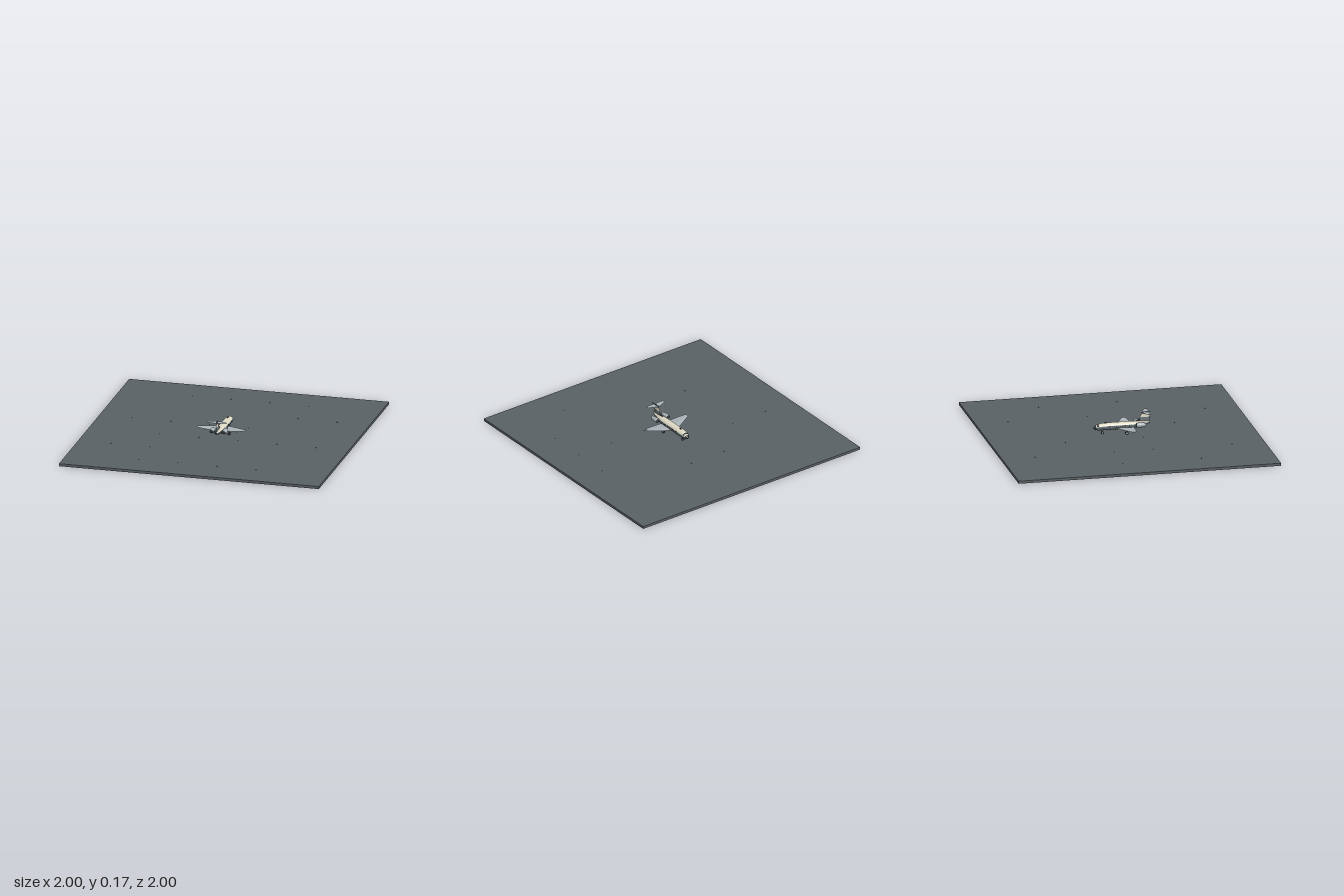
import * as THREE from 'three';

const mat = (name, color) => Object.assign(new THREE.MeshStandardMaterial({ color }), { name });
const M = {
  tarmac: mat('tarmac', 0x5a6164),
  cream: mat('cream', 0xddd8c4),
  silver: mat('silver', 0xaab3b8),
  grey: mat('grey', 0x69747a),
  dark: mat('dark', 0x34393c),
  glass: mat('glass', 0x1d2629),
};

// Skin a list of equal-length rings; closed rings get end caps
function loft(rings, { closed = true, flip = false, flat = false } = {}) {
  const n = rings[0].length, idx = [];
  const tri = (a, b, c) => (flip ? idx.push(a, c, b) : idx.push(a, b, c));
  for (let i = 0; i < rings.length - 1; i++) {
    for (let j = 0; j < (closed ? n : n - 1); j++) {
      const k = (j + 1) % n, a = i * n + j, b = i * n + k;
      tri(a, b, b + n);
      tri(a, b + n, a + n);
    }
  }
  if (closed) {
    const e = (rings.length - 1) * n;
    for (let j = 1; j < n - 1; j++) {
      tri(0, j + 1, j);
      tri(e, e + j, e + j + 1);
    }
  }
  let g = new THREE.BufferGeometry();
  g.setAttribute('position', new THREE.Float32BufferAttribute(rings.flat(2), 3));
  g.setIndex(idx);
  if (flat) g = g.toNonIndexed();
  g.computeVertexNormals();
  return g;
}

// Fuselage stations: z, centre height, half width, half height
const stations = [
  [-0.203, 0.068, 0.002, 0.002], [-0.198, 0.069, 0.012, 0.010], [-0.185, 0.071, 0.020, 0.017],
  [-0.165, 0.074, 0.027, 0.023], [-0.135, 0.076, 0.032, 0.026], [-0.09, 0.077, 0.033, 0.027],
  [0.08, 0.077, 0.033, 0.027], [0.13, 0.079, 0.028, 0.024], [0.18, 0.083, 0.018, 0.017],
  [0.215, 0.087, 0.009, 0.010], [0.228, 0.089, 0.003, 0.004],
];
const hullPoint = ([z, y, w, h], deg, grow = 0) => {
  const a = THREE.MathUtils.degToRad(deg);
  return [Math.cos(a) * (w + grow), y + Math.sin(a) * (h + grow), z];
};
function hullStrip(list, from, to, grow = 0) {
  const steps = Math.max(2, Math.ceil((to - from) / 12));
  return loft(list.map((s) => Array.from({ length: steps + 1 },
    (_, i) => hullPoint(s, from + ((to - from) * i) / steps, grow))), { closed: false });
}

// Wing-like surface: stations of x, y, leading z, trailing z, thickness
function wing(list, side) {
  return loft(list.map(([x, y, z0, z1, t]) => {
    const at = (f, h) => [x * side, y + h * t, z0 + (z1 - z0) * f];
    return [at(0.35, 0.5), at(1, 0), at(0.35, -0.5), at(0, 0)];
  }), { flip: side < 0, flat: true });
}

export function createModel() {
  const root = new THREE.Group();
  root.name = 'parkedJet';
  const add = (name, geo, m, x = 0, y = 0, z = 0) => {
    const mesh = new THREE.Mesh(geo, m);
    mesh.name = name;
    mesh.position.set(x, y, z);
    root.add(mesh);
    return mesh;
  };

  // Ground slab with small flush lights
  add('groundSlab', new THREE.BoxGeometry(2, 0.02, 2), M.tarmac, 0, 0.01, 0);
  const lamp = new THREE.CylinderGeometry(0.004, 0.004, 0.002, 8);
  for (let i = 0; i < 6; i++) {
    for (let j = 0; j < 6; j++) {
      if ((i === 0 || i === 5) && (j === 0 || j === 5)) continue;
      add('groundStud', lamp, M.tarmac, -0.75 + i * 0.3, 0.0205, -0.75 + j * 0.3);
    }
  }

  // Fuselage: dark nose, cream roof, dark stripe and grey belly
  add('nose', hullStrip(stations.slice(0, 3), 0, 360), M.dark);
  const body = stations.slice(2);
  add('roof', hullStrip(body, 22, 158), M.cream);
  add('belly', hullStrip(body, 180, 360), M.grey);
  for (const from of [0, 158]) add('sideStripe', hullStrip(body, from, from + 22), M.grey);
  for (const from of [-6, 180]) add('cheatLine', hullStrip(body, from, from + 6, 0.0004), M.dark);

  // Cockpit glazing and roof aerial
  for (const [from, to] of [[30, 58], [62, 88], [92, 118], [122, 150]]) {
    add('windscreen', hullStrip([[-0.178, 0.0721, 0.0225, 0.0192], stations[3]], from, to, 0.0008), M.glass);
  }
  add('roofAerial', new THREE.BoxGeometry(0.005, 0.008, 0.02), M.dark, 0, 0.106, -0.108);

  for (const s of [-1, 1]) {
    // Cabin windows
    for (let i = 0; i < 12; i++) {
      add('cabinWindow', new THREE.BoxGeometry(0.0015, 0.006, 0.005), M.glass, s * 0.0325, 0.083, -0.1 + i * 0.0165);
    }
    // Main wing with dark leading-edge fairings underneath
    add('wing', wing([[0.02, 0.064, -0.04, 0.1, 0.012], [0.125, 0.071, 0.018, 0.095, 0.008],
      [0.187, 0.077, 0.052, 0.084, 0.004]], s), M.silver);
    for (const [x, y] of [[0.08, 0.062], [0.125, 0.066]]) {
      const pod = add('flapFairing', new THREE.SphereGeometry(1, 10, 8), M.grey, s * x, y, 0.075);
      pod.scale.set(0.004, 0.004, 0.025);
    }

    // Rear engine: open-ended nacelle, dark intake and exhaust, pylon
    const profile = [[0.012, -0.036], [0.015, -0.037], [0.0175, -0.03], [0.0185, -0.01], [0.017, 0.015], [0.012, 0.035]];
    const nacelle = new THREE.LatheGeometry(profile.map(([r, y]) => new THREE.Vector2(r, y)), 20);
    add('engineNacelle', nacelle, M.silver, s * 0.048, 0.085, 0.15).rotation.x = Math.PI / 2;
    const fan = new THREE.CylinderGeometry(0.012, 0.0125, 0.07, 20);
    add('engineCore', fan, M.dark, s * 0.048, 0.085, 0.15).rotation.x = Math.PI / 2;
    const spinner = new THREE.ConeGeometry(0.005, 0.007, 12);
    add('spinner', spinner, M.silver, s * 0.048, 0.085, 0.112).rotation.x = -Math.PI / 2;
    add('enginePylon', new THREE.BoxGeometry(0.02, 0.005, 0.045), M.grey, s * 0.028, 0.085, 0.15);

    // High tailplane
    add('tailplane', wing([[0, 0.166, 0.165, 0.222, 0.006], [0.075, 0.169, 0.194, 0.221, 0.003]], s), M.silver);

    // Main landing gear
    add('mainStrut', new THREE.CylinderGeometry(0.003, 0.003, 0.034, 10), M.silver, s * 0.05, 0.05, 0.04);
    for (const dx of [-0.005, 0.005]) wheel('mainWheel', s * 0.05 + dx, 0.0315, 0.04, 0.0115);
  }

  // Swept fin in coloured bands
  const finRing = (y) => {
    const t = (y - 0.09) / 0.076;
    const z0 = 0.125 + 0.045 * t, z1 = 0.222 + 0.008 * t, w = 0.0055 - 0.002 * t;
    return [[0, y, z1], [w, y, z0 + (z1 - z0) * 0.35], [0, y, z0], [-w, y, z0 + (z1 - z0) * 0.35]];
  };
  [[0.09, 0.13, M.grey], [0.13, 0.153, M.cream], [0.153, 0.166, M.grey]].forEach(([a, b, m]) =>
    add('fin', loft([finRing(a), finRing(b)], { flat: true }), m));
  const bullet = add('finTopFairing', new THREE.SphereGeometry(1, 12, 8), M.dark, 0, 0.167, 0.197);
  bullet.scale.set(0.005, 0.005, 0.036);
  add('finRootFillet', loft([[[0, 0.095, 0.17], [0.004, 0.095, 0.14], [0, 0.095, 0.09], [-0.004, 0.095, 0.14]],
    [[0, 0.115, 0.17], [0.003, 0.115, 0.15], [0, 0.115, 0.135], [-0.003, 0.115, 0.15]]], { flat: true }), M.dark);

  // Nose landing gear
  add('noseStrut', new THREE.CylinderGeometry(0.0025, 0.0025, 0.03, 10), M.silver, 0, 0.044, -0.135);
  for (const dx of [-0.004, 0.004]) wheel('noseWheel', dx, 0.03, -0.135, 0.01);

  function wheel(name, x, y, z, r) {
    add(name, new THREE.CylinderGeometry(r, r, 0.005, 16), M.dark, x, y, z).rotation.z = Math.PI / 2;
    add(name + 'Hub', new THREE.CylinderGeometry(r * 0.55, r * 0.55, 0.006, 12), M.silver, x, y, z).rotation.z = Math.PI / 2;
  }
  return root;
}
